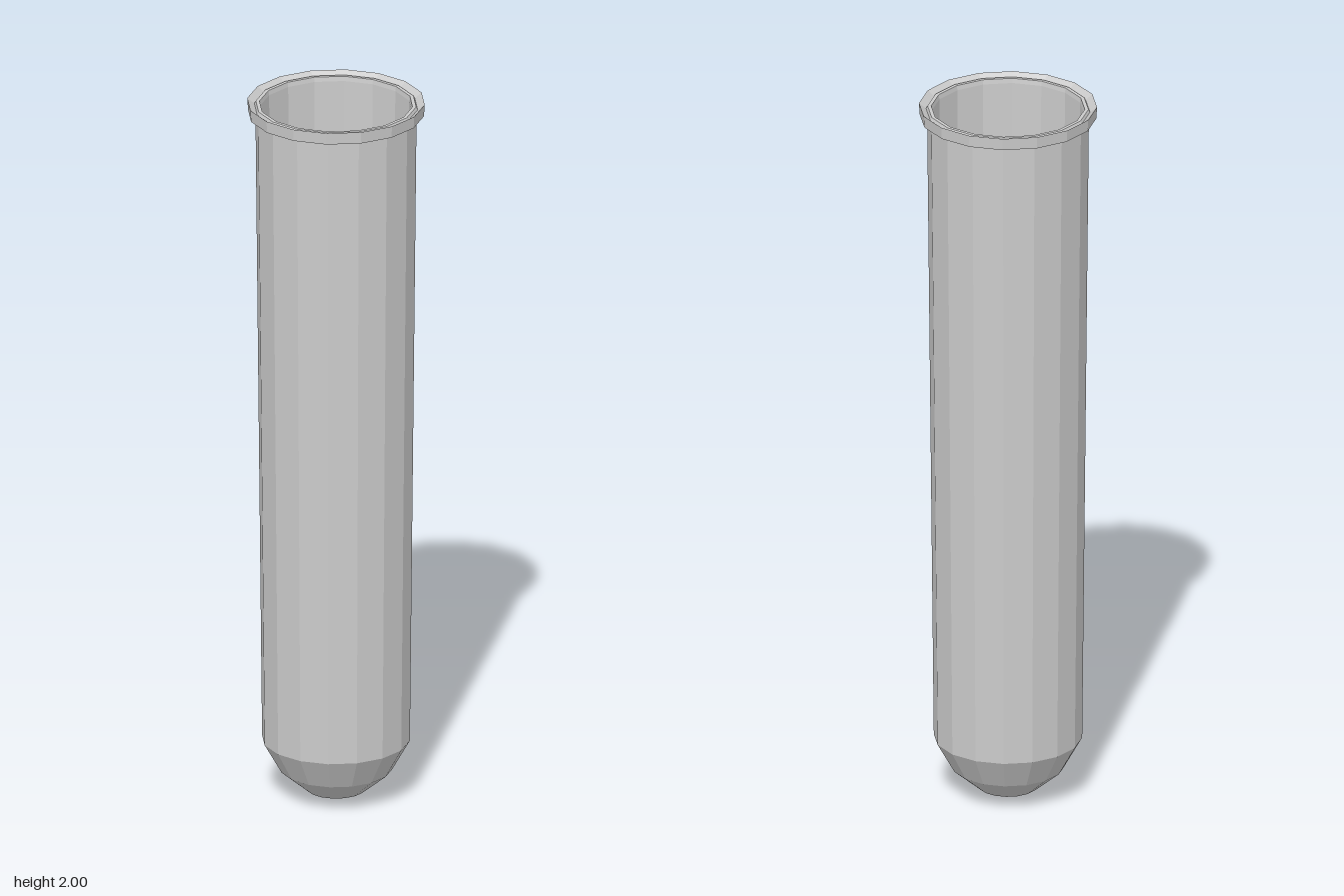
import * as THREE from 'three';

const SIDES = 16;

// Faceted turned part: profile runs up the outside, then down the inside.
function turned(name, profile, material) {
  const points = profile.map(([r, y]) => new THREE.Vector2(r, y));
  const mesh = new THREE.Mesh(new THREE.LatheGeometry(points, SIDES), material);
  mesh.name = name;
  return mesh;
}

export function createModel() {
  const model = new THREE.Group();
  model.name = 'testTube';
  const material = new THREE.MeshStandardMaterial({ color: 0xcccccc, flatShading: true });

  // Slightly tapered outer wall with a rounded bottom
  model.add(turned('outerWall', [
    [0, 0], [0.08, 0.02], [0.152, 0.08], [0.2, 0.165], [0.218, 1.965],
  ], material));

  // Flared rim with a dished top and a thin lip around the mouth
  model.add(turned('rim', [
    [0.218, 1.96], [0.238, 1.967], [0.24, 2], [0.221, 1.985],
    [0.217, 1.993], [0.207, 1.993], [0.205, 1.98],
  ], material));

  // Hollow inside, following the outer wall
  model.add(turned('innerWall', [
    [0.205, 1.98], [0.187, 0.17], [0.143, 0.092], [0.077, 0.036], [0, 0.016],
  ], material));

  return model;
}
